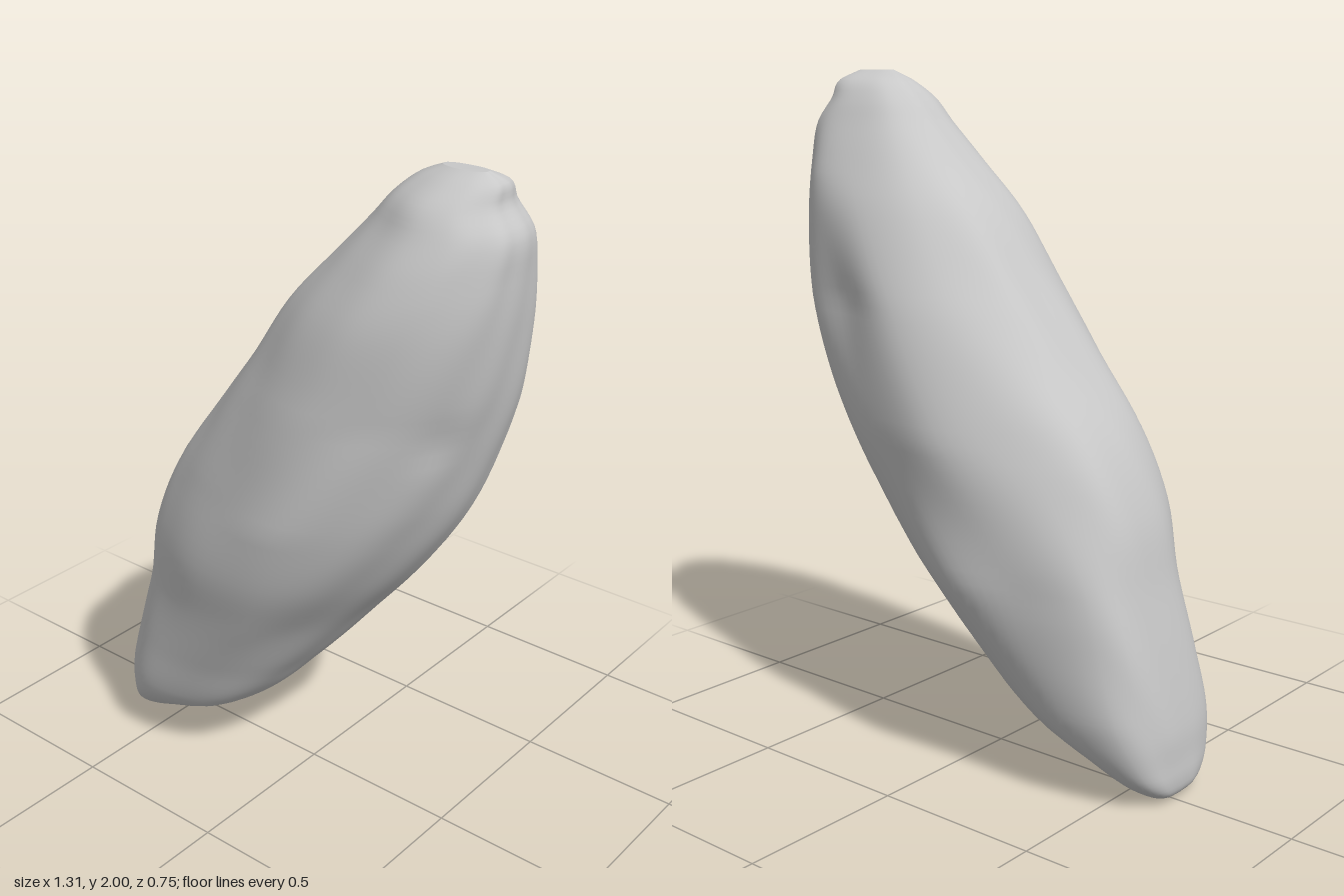
import * as THREE from 'three';

// Outline rows from bottom to top: y, left x, right x, back z, front z
const ROWS = [
  [0.00, -0.60, -0.57, -0.02, 0.05], [0.02, -0.64, -0.53, -0.07, 0.12],
  [0.06, -0.652, -0.47, -0.13, 0.18], [0.12, -0.65, -0.36, -0.18, 0.235],
  [0.21, -0.645, -0.16, -0.23, 0.28], [0.40, -0.61, 0.025, -0.295, 0.305],
  [0.60, -0.565, 0.19, -0.345, 0.33], [0.80, -0.52, 0.35, -0.36, 0.37],
  [1.00, -0.43, 0.475, -0.37, 0.375], [1.20, -0.285, 0.55, -0.355, 0.36],
  [1.40, -0.14, 0.605, -0.32, 0.33], [1.60, 0.00, 0.637, -0.27, 0.295],
  [1.75, 0.14, 0.648, -0.21, 0.235], [1.85, 0.23, 0.645, -0.165, 0.18],
  [1.92, 0.29, 0.60, -0.13, 0.14], [1.97, 0.35, 0.59, -0.09, 0.08],
  [2.00, 0.42, 0.55, -0.02, 0.03],
];

// Cross-sections from low to high, each running from +x through +z
const section = (y, points) => ({
  y,
  points: new THREE.CatmullRomCurve3(
    points.map(([u, v]) => new THREE.Vector3(u, 0, v)), true, 'centripetal').getPoints(84),
});
const SECTIONS = [
  section(0.25, [[1, 0], [0.95, 0.4], [0.72, 0.78], [0.25, 0.98], [-0.3, 1], [-0.7, 0.8], [-0.93, 0.5],
    [-1, 0], [-0.95, -0.6], [-0.7, -0.88], [-0.1, -1], [0.4, -0.88], [0.75, -0.62], [0.95, -0.3]]),
  section(0.6, [[1, -0.05], [0.9, 0.4], [0.68, 0.76], [0.4, 0.98], [-0.1, 1], [-0.6, 0.8], [-0.92, 0.44],
    [-1, -0.05], [-0.96, -0.5], [-0.8, -0.7], [-0.35, -0.88], [0.15, -1], [0.55, -0.85], [0.9, -0.5]]),
  section(1.0, [[1, -0.1], [0.9, 0.32], [0.68, 0.72], [0.3, 1], [-0.2, 0.94], [-0.72, 0.65], [-0.95, 0.32],
    [-1, -0.1], [-0.95, -0.45], [-0.65, -0.78], [-0.15, -1], [0.4, -0.9], [0.8, -0.68], [0.96, -0.4]]),
  section(1.35, [[1, -0.1], [0.93, 0.28], [0.74, 0.6], [0.45, 0.84], [0, 1], [-0.55, 0.8], [-0.93, 0.38],
    [-1, -0.1], [-0.95, -0.5], [-0.6, -0.85], [-0.15, -1], [0.4, -0.84], [0.85, -0.7], [0.98, -0.43]]),
  section(1.7, [[1, 0], [0.96, 0.32], [0.82, 0.56], [0.5, 0.86], [0, 1], [-0.5, 0.82], [-0.9, 0.42],
    [-1, -0.1], [-0.93, -0.5], [-0.6, -0.85], [0, -1], [0.5, -0.97], [0.84, -0.74], [0.98, -0.4]]),
];

// Shallow hollows: x, y, z, radius, depth
const DENTS = [
  [-0.15, 0.21, -0.04, 0.08, 0.02], [0.52, 1.3, 0.12, 0.07, 0.012],
];

// Smooth outline between the rows
function rowAt(y) {
  let i = 0;
  while (i < ROWS.length - 2 && ROWS[i + 1][0] < y) i++;
  const a = ROWS[i], b = ROWS[i + 1];
  const before = ROWS[Math.max(i - 1, 0)], after = ROWS[Math.min(i + 2, ROWS.length - 1)];
  const h = b[0] - a[0], t = (y - a[0]) / h;
  return a.map((v, k) => {
    const m0 = (b[k] - before[k]) / (b[0] - before[0]) * h;
    const m1 = (after[k] - v) / (after[0] - a[0]) * h;
    const d = b[k] - v;
    return v + t * (m0 + t * (3 * d - 2 * m0 - m1 + t * (m0 + m1 - 2 * d)));
  });
}

// Blend of the two nearest cross-sections
function sectionPoint(y, s) {
  let i = 0;
  while (i < SECTIONS.length - 2 && SECTIONS[i + 1].y < y) i++;
  const a = SECTIONS[i], b = SECTIONS[i + 1];
  const t = THREE.MathUtils.clamp((y - a.y) / (b.y - a.y), 0, 1);
  return a.points[s].clone().lerp(b.points[s], t);
}

function rockGeometry(rings = 80, sides = 84) {
  const pos = [], index = [];
  for (let r = 0; r <= rings; r++) {
    // Rings gather towards both tips
    const y = 1 - Math.cos((r / rings) * Math.PI);
    const [, x0, x1, z0, z1] = rowAt(y);
    const cx = (x0 + x1) / 2, cz = (z0 + z1) / 2;
    for (let s = 0; s < sides; s++) {
      const { x: u, z: v } = sectionPoint(y, s);
      // Gentle lumps on the surface
      const lump = 1 + 0.006 * Math.sin(13 * v + 11 * y + 3 * u);
      const p = new THREE.Vector3(cx + u * lump * (x1 - x0) / 2, y, cz + v * lump * (z1 - z0) / 2);
      for (const [dx, dy, dz, rad, depth] of DENTS) {
        const d = p.distanceTo(new THREE.Vector3(dx, dy, dz)) / rad;
        const pull = depth * Math.exp(-d * d);
        const dir = new THREE.Vector2(p.x - cx, p.z - cz).normalize();
        p.x -= dir.x * pull;
        p.z -= dir.y * pull;
      }
      pos.push(p.x, p.y, p.z);
    }
  }
  for (let r = 0; r < rings; r++) {
    for (let s = 0; s < sides; s++) {
      const a = r * sides + s, b = r * sides + (s + 1) % sides;
      index.push(a, a + sides, b, b, a + sides, b + sides);
    }
  }
  // Close both tips
  const low = pos.length / 3, high = low + 1, last = rings * sides;
  pos.push(-0.585, 0, 0.015, 0.485, 2, 0.005);
  for (let s = 0; s < sides; s++) {
    const n = (s + 1) % sides;
    index.push(low, s, n, high, last + n, last + s);
  }
  const geo = new THREE.BufferGeometry();
  geo.setAttribute('position', new THREE.Float32BufferAttribute(pos, 3));
  geo.setIndex(index);
  geo.computeVertexNormals();
  return geo;
}

export function createModel() {
  const group = new THREE.Group();
  group.name = 'leaningRock';
  const stone = new THREE.MeshStandardMaterial({ color: 0xc8c8c8 });
  stone.name = 'grey stone';
  const rock = new THREE.Mesh(rockGeometry(), stone);
  rock.name = 'rock';
  group.add(rock);
  return group;
}
